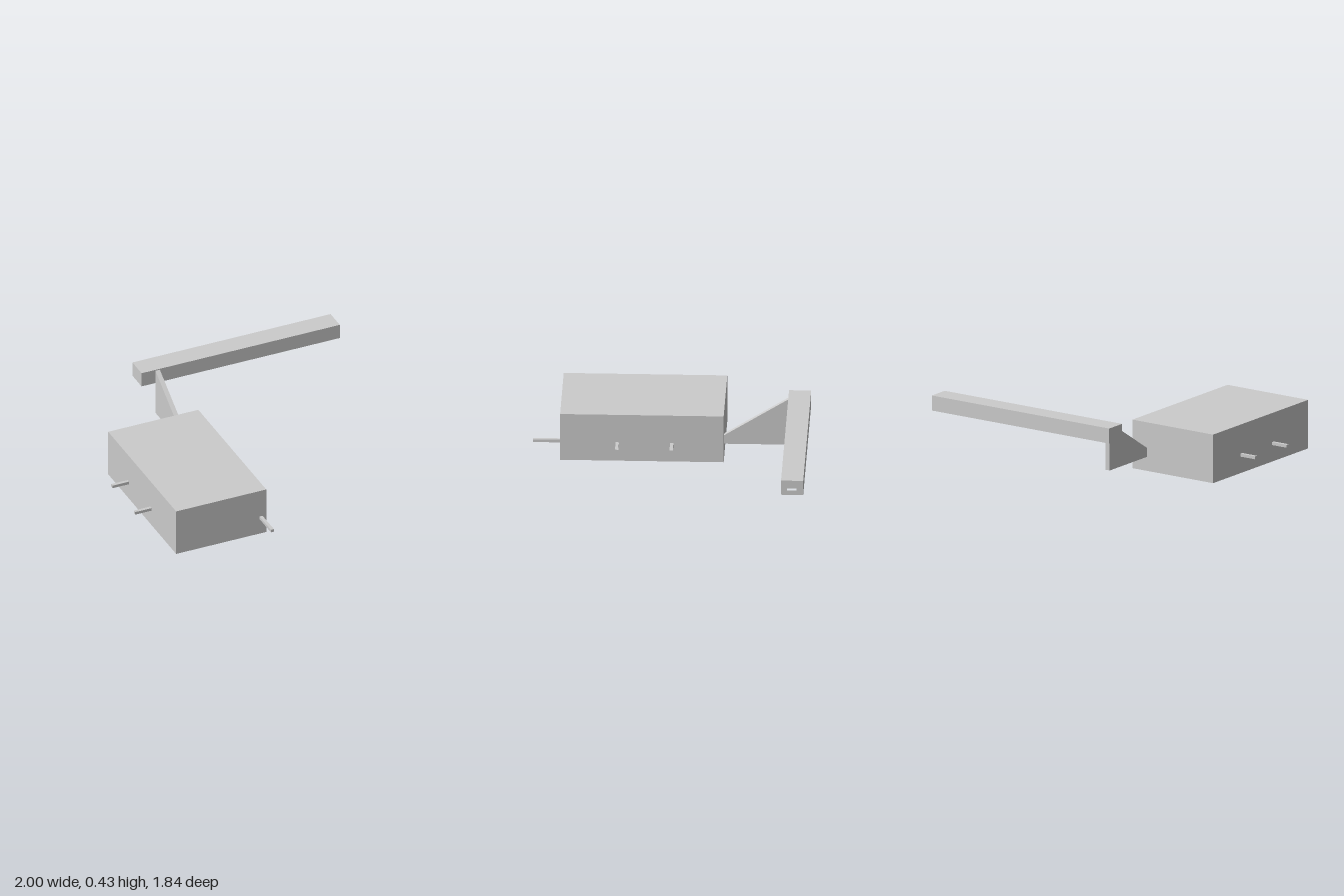
import * as THREE from 'three';

const material = new THREE.MeshStandardMaterial({ color: 0xcccccc, flatShading: true });

function addMesh(group, name, geometry) {
  const mesh = new THREE.Mesh(geometry, material);
  mesh.name = name;
  group.add(mesh);
}

// Box given by its limits along each axis
function addBox(group, name, [x0, x1], [y0, y1], [z0, z1]) {
  const geometry = new THREE.BoxGeometry(x1 - x0, y1 - y0, z1 - z0);
  geometry.translate((x0 + x1) / 2, (y0 + y1) / 2, (z0 + z1) / 2);
  addMesh(group, name, geometry);
}

// Points are [z, y] pairs
const toPoints = (pairs) => pairs.map(([z, y]) => new THREE.Vector2(-z, y));
const rect = ([z0, z1], [y0, y1]) => [[z0, y0], [z1, y0], [z1, y1], [z0, y1]];

// Side outline extruded from x0 to x1, with an optional hole
function addSideProfile(group, name, outline, hole, x0, x1) {
  const shape = new THREE.Shape(toPoints(outline));
  if (hole) shape.holes.push(new THREE.Path(toPoints(hole)));
  const geometry = new THREE.ExtrudeGeometry(shape, { depth: x1 - x0, bevelEnabled: false });
  geometry.rotateY(Math.PI / 2).translate(x0, 0, 0);
  addMesh(group, name, geometry);
}

export function createModel() {
  const model = new THREE.Group();
  model.name = 'model';

  // Main block
  addBox(model, 'body', [-0.88, -0.224], [0, 0.333], [-0.347, 0.737]);

  // Small square pins on both sides and the front
  const pinY = [0.114, 0.134];
  for (const z of [-0.003, 0.358]) {
    addBox(model, 'leftPin', [-0.225, -0.104], pinY, [z - 0.011, z + 0.011]);
  }
  for (const z of [-0.025, 0.335]) {
    addBox(model, 'rightPin', [-1, -0.879], pinY, [z - 0.011, z + 0.011]);
  }
  addBox(model, 'frontPin', [-0.273, -0.251], pinY, [0.736, 0.919]);

  // Thin tapered bracket between block and beam
  addSideProfile(model, 'bracket',
    [[-0.347, 0.096], [-0.347, 0.158], [-0.772, 0.425], [-0.772, 0.096]], null, -0.342, -0.31);

  // Long beam with a square socket in its left end
  const beamY = [0.329, 0.432], beamZ = [-0.919, -0.772];
  addBox(model, 'beam', [-0.443, 0.9], beamY, beamZ);
  addSideProfile(model, 'beamSocket', rect(beamZ, beamY),
    rect([-0.875, -0.811], [0.361, 0.418]), 0.9, 1);

  return model;
}
